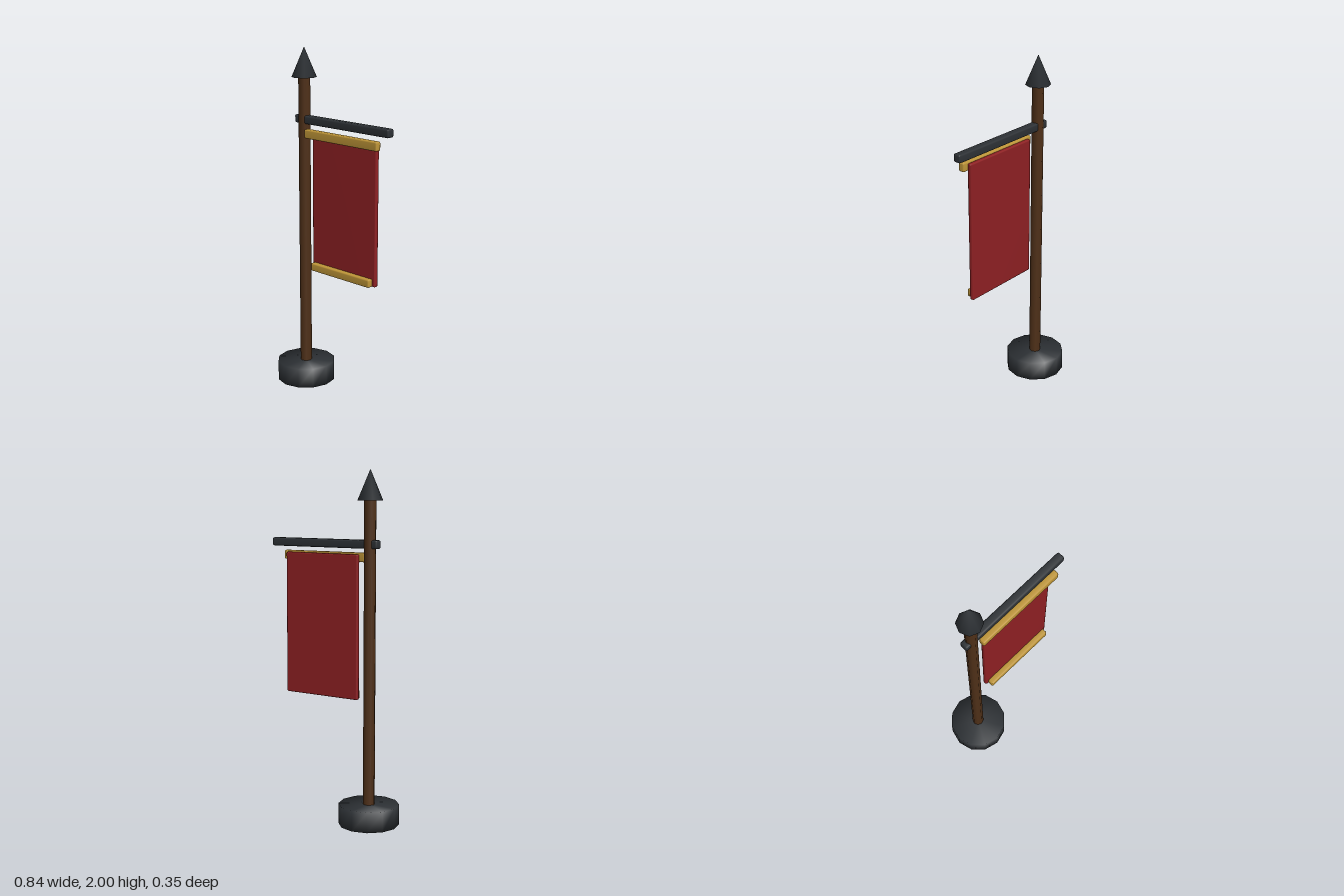
import * as THREE from 'three';
import { mergeVertices } from 'three/addons/utils/BufferGeometryUtils.js';
import { RoundedBoxGeometry } from 'three/addons/geometries/RoundedBoxGeometry.js';

const material = (color) => new THREE.MeshStandardMaterial({ color, side: THREE.FrontSide });

// Welds a geometry so that its normals run smoothly over every edge
function weld(geometry) {
  geometry.deleteAttribute('uv');
  geometry.deleteAttribute('normal');
  const welded = mergeVertices(geometry, 1e-4);
  welded.computeVertexNormals();
  return welded;
}

export function createModel() {
  const model = new THREE.Group();
  model.name = 'bannerStand';
  const iron = material(0x2d3135);
  const wood = material(0x4f3018);
  const gold = material(0xbf9638);
  const cloth = material(0x8f2023);
  const poleX = -0.247;

  function add(name, geometry, mat, x, y, z) {
    const mesh = new THREE.Mesh(weld(geometry), mat);
    mesh.name = name;
    mesh.position.set(x, y, z);
    model.add(mesh);
  }

  // Upright part on the pole axis, from y0 to y1
  function upright(name, mat, rTop, rBottom, y0, y1, sides) {
    const geometry = new THREE.CylinderGeometry(rTop, rBottom, y1 - y0, sides);
    add(name, geometry, mat, poleX, (y0 + y1) / 2, 0);
  }

  // Bar or panel with a narrow bevel, given by its extents
  function bevelled(name, mat, [x0, x1], [y0, y1], [z0, z1], bevel) {
    const geometry = new RoundedBoxGeometry(x1 - x0, y1 - y0, z1 - z0, 1, bevel);
    add(name, geometry, mat, (x0 + x1) / 2, (y0 + y1) / 2, (z0 + z1) / 2);
  }

  // Stand
  upright('base', iron, 0.173, 0.173, 0, 0.117, 12);
  upright('pole', wood, 0.034, 0.034, 0.1, 1.84, 8);
  upright('finial', iron, 0, 0.072, 1.83, 2, 8);

  // Crossbar and hanging cloth
  bevelled('crossbar', iron, [-0.305, 0.42], [1.566, 1.614], [-0.024, 0.024], 0.01);
  bevelled('banner', cloth, [-0.171, 0.325], [0.71, 1.532], [-0.014, 0.013], 0.008);

  // Gilded trim on the front of the cloth
  bevelled('topTrim', gold, [-0.203, 0.357], [1.489, 1.541], [0.01, 0.047], 0.008);
  bevelled('bottomTrim', gold, [-0.154, 0.307], [0.711, 0.758], [0.01, 0.047], 0.008);

  return model;
}
